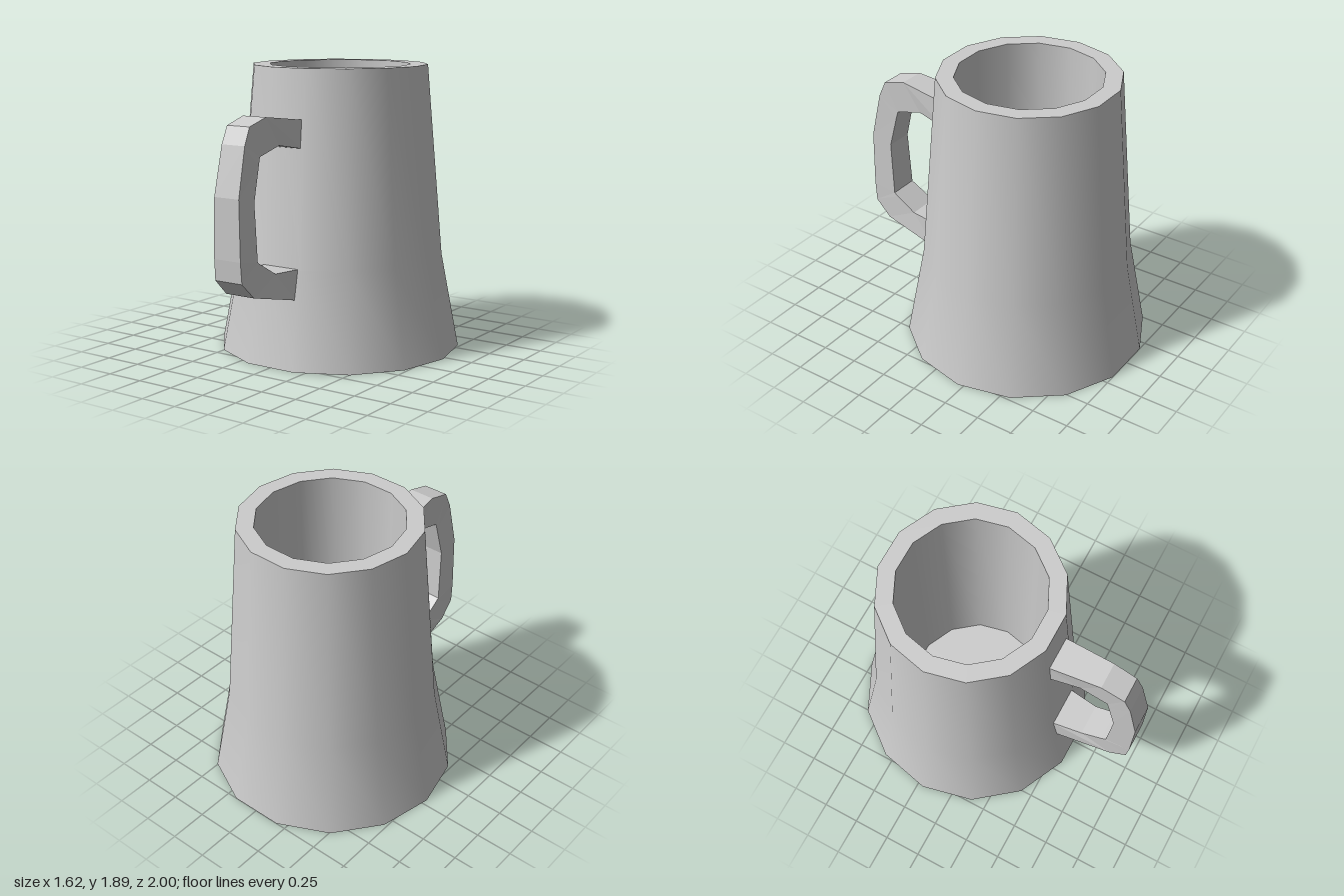
import * as THREE from 'three';

const SIDES = 14;
const BODY_Z = -0.21;

export function createModel() {
  const group = new THREE.Group();
  const smooth = new THREE.MeshStandardMaterial({ color: 0xcccccc });
  const flat = new THREE.MeshStandardMaterial({ color: 0xcccccc, flatShading: true });

  // Tankard body: one lathe per surface so the rim and base edges stay sharp
  const sections = {
    base: [[0, 0], [0.81, 0]],
    outerWall: [[0.81, 0], [0.69, 0.63], [0.582, 1.89]],
    rim: [[0.582, 1.89], [0.47, 1.89]],
    innerWall: [[0.47, 1.89], [0.47, 0.15]],
    innerFloor: [[0.47, 0.15], [0, 0.15]],
  };
  const body = new THREE.Group();
  body.name = 'body';
  body.position.z = BODY_Z;
  for (const [name, profile] of Object.entries(sections)) {
    const points = profile.map(([r, y]) => new THREE.Vector2(r, y));
    const mesh = new THREE.Mesh(new THREE.LatheGeometry(points, SIDES, Math.PI / SIDES), smooth);
    mesh.name = name;
    body.add(mesh);
  }
  group.add(body);

  // Handle: rectangular sections [outer z, outer y, inner z, inner y, half width], top to bottom
  const stations = [
    [0.36, 1.57, 0.38, 1.39, 0.113],
    [0.72, 1.615, 0.59, 1.43, 0.088],
    [0.88, 1.57, 0.78, 1.38, 0.085],
    [0.93, 1.46, 0.795, 1.325, 0.087],
    [1.0, 1.15, 0.85, 1.11, 0.093],
    [1.0, 0.77, 0.83, 0.74, 0.1],
    [0.99, 0.635, 0.8, 0.722, 0.102],
    [0.88, 0.53, 0.66, 0.64, 0.107],
    [0.48, 0.44, 0.45, 0.635, 0.135],
  ];
  const positions = [];
  const index = [];
  stations.forEach(([oz, oy, iz, iy, w], k) => {
    positions.push(w, oy, oz, -w, oy, oz, -w, iy, iz, w, iy, iz);
    if (k === stations.length - 1) return;
    for (let j = 0; j < 4; j++) {
      const a = k * 4 + j;
      const b = k * 4 + ((j + 1) % 4);
      index.push(a, b, b + 4, a, b + 4, a + 4);
    }
  });
  // End caps, buried in the wall
  const e = (stations.length - 1) * 4;
  index.push(0, 2, 1, 0, 3, 2, e, e + 1, e + 2, e, e + 2, e + 3);

  const geometry = new THREE.BufferGeometry();
  geometry.setAttribute('position', new THREE.Float32BufferAttribute(positions, 3));
  geometry.setIndex(index);
  const faceted = geometry.toNonIndexed();
  faceted.computeVertexNormals();
  const handle = new THREE.Mesh(faceted, flat);
  handle.name = 'handle';
  group.add(handle);

  return group;
}
